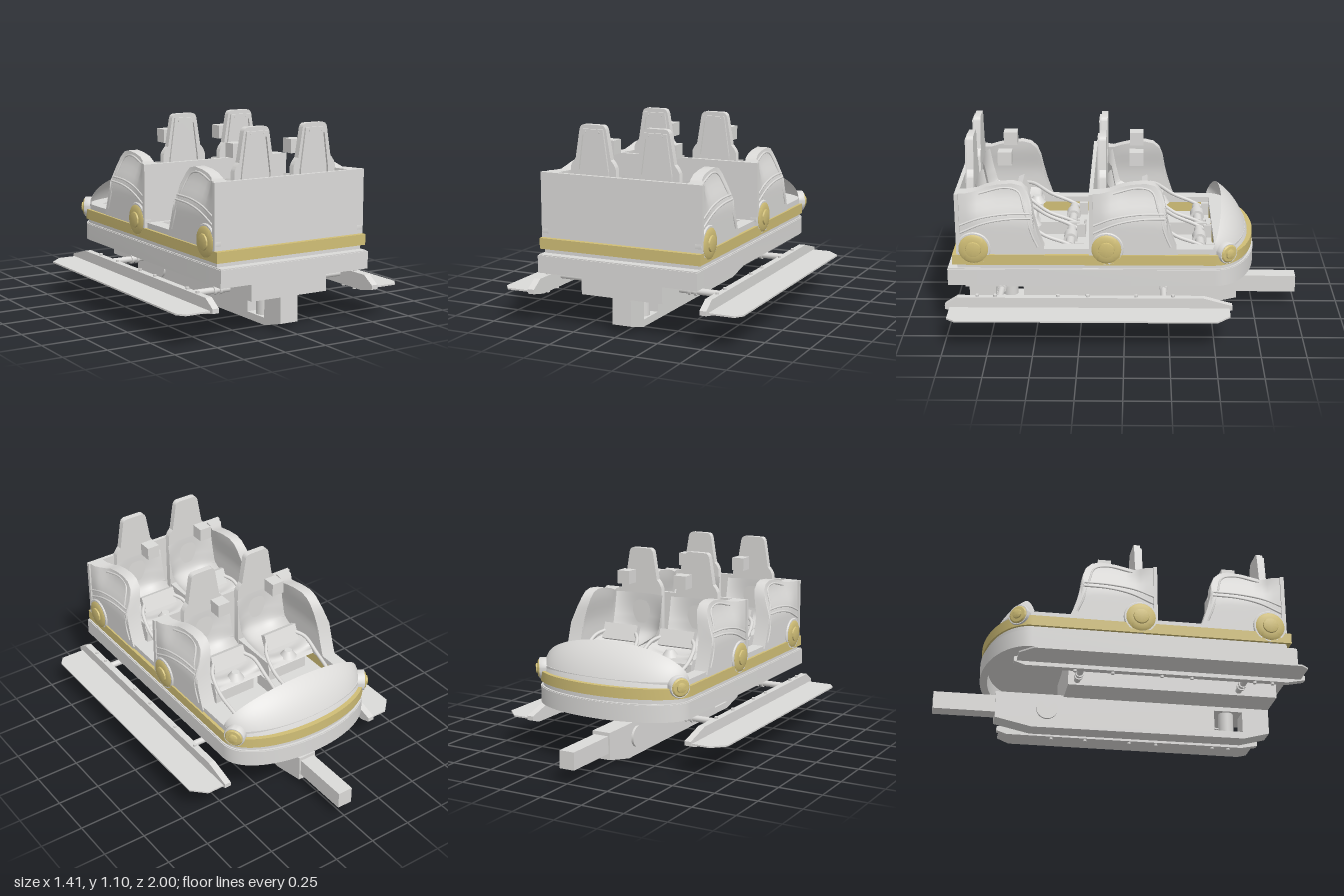
import * as THREE from 'three';
import { toCreasedNormals } from 'three/addons/utils/BufferGeometryUtils.js';
import { ParametricGeometry } from 'three/addons/geometries/ParametricGeometry.js';

const grey = new THREE.MeshStandardMaterial({ color: 0xdbdad8, side: THREE.DoubleSide });
grey.name = 'light grey';
const gold = new THREE.MeshStandardMaterial({ color: 0xd0be76 });
gold.name = 'gold';

const V = (x, y, z) => new THREE.Vector3(x, y, z);
const ss = THREE.MathUtils.smoothstep;

function add(parent, name, geo, mat = grey) {
  const m = new THREE.Mesh(geo, mat);
  m.name = name;
  parent.add(m);
  return m;
}
// box given by its limits
function box(parent, name, x0, x1, y0, y1, z0, z1) {
  const g = new THREE.BoxGeometry(x1 - x0, y1 - y0, z1 - z0);
  return add(parent, name, g.translate((x0 + x1) / 2, (y0 + y1) / 2, (z0 + z1) / 2));
}
function tube(parent, name, pts, r) {
  return add(parent, name, new THREE.TubeGeometry(new THREE.CatmullRomCurve3(pts), 24, r, 8));
}
const shapeOf = pts => new THREE.Shape(pts.map(p => new THREE.Vector2(...p)));
const rect = (x0, x1, z0, z1) => shapeOf([[x0, z0], [x1, z0], [x1, z1], [x0, z1]]);

// (z, y) outline extruded across x
function sideExtrude(pts, x0, x1, holes = []) {
  const s = shapeOf(pts);
  s.holes.push(...holes);
  return new THREE.ExtrudeGeometry(s, { depth: x1 - x0, bevelEnabled: false }).rotateY(-Math.PI / 2).translate(x1, 0, 0);
}
// (x, z) outline extruded down from y1 to y0
function planExtrude(shape, y0, y1) {
  const g = new THREE.ExtrudeGeometry(shape, { depth: y1 - y0, bevelEnabled: false }).rotateX(Math.PI / 2).translate(0, y1, 0);
  return toCreasedNormals(g, 0.5);
}
// car outline: square at the tail, curved at the nose
function carPlan(w, tail, shoulder, nose, holes = []) {
  const pts = [[w, tail], [-w, tail]];
  for (let i = 0; i <= 32; i++) {
    const a = Math.PI * i / 32;
    pts.push([-w * Math.cos(a), shoulder + (nose - shoulder) * Math.sin(a)]);
  }
  const s = shapeOf(pts);
  s.holes.push(...holes);
  return s;
}

// round badge with a grey rim and a stepped gold boss, facing +x
function medallion(r, name) {
  const g = new THREE.Group();
  g.name = name;
  const turn = pts => toCreasedNormals(
    new THREE.LatheGeometry(pts.map(p => new THREE.Vector2(p[0] * r, p[1])), 40).rotateZ(-Math.PI / 2), 0.5);
  add(g, 'rim', turn([[1, -0.03], [1, 0.004], [0.95, 0.01], [0.86, 0.01], [0.82, 0]]));
  add(g, 'goldBoss', turn([[0.86, -0.02], [0.86, 0.011], [0.74, 0.018], [0.46, 0.02], [0.44, 0.028], [0.36, 0.03], [0, 0.03]]), gold);
  return g;
}

// side pod: height along z, with an upper part that steps inward ahead of the back panel
const podTop = [[0.92, 0.84], [0.87, 0.84], [0.84, 0.84], [0.81, 0.842], [0.76, 0.86], [0.7, 0.873], [0.62, 0.88],
  [0.57, 0.868], [0.535, 0.835], [0.515, 0.78], [0.5, 0.69], [0.48, 0.61], [0.455, 0.535], [0.44, 0.5]];
const podLean = (y, z) => ss(y, 0.66, 0.87) * (1 - ss(z, 0.78, 0.9));
const podX = (y, z) => 0.465 - 0.06 * podLean(y, z);
function podGeometry(side) {
  const n = podTop.length - 1, K = 10;
  const g = new ParametricGeometry((u, v, t) => {
    const [z, top] = podTop[Math.round(u * n)];
    const k = Math.round(v * (2 * K + 1)), outer = k <= K;
    const y = 0.485 + (top - 0.485) * (outer ? k : 2 * K + 1 - k) / K;
    t.set(side * (podX(y, z) - (outer ? 0 : 0.085 - 0.025 * podLean(y, z))), y, z);
  }, n, 2 * K + 1);
  return toCreasedNormals(g, 0.6);
}

// bucket seat shell swept from backrest to pan with raised bolsters
const seatPath = new THREE.CatmullRomCurve3([V(0, 0.835, 0.836), V(0, 0.7, 0.84), V(0, 0.6, 0.825), V(0, 0.555, 0.76),
  V(0, 0.55, 0.6), V(0, 0.565, 0.52), V(0, 0.53, 0.49)]);
const seatShell = new ParametricGeometry((u, v, t) => {
  const p = seatPath.getPoint(v), d = seatPath.getTangent(v), a = u * 2 - 1;
  const lift = 0.07 * Math.abs(a) ** 3 * Math.sin(Math.PI * Math.min(1, v + 0.1));
  t.set(a * 0.156, p.y - d.z * lift, p.z + d.y * lift);
}, 20, 30);

function seat(x) {
  const g = new THREE.Group();
  g.name = 'seat';
  g.position.x = x;
  add(g, 'seatShell', seatShell);
  box(g, 'seatBase', -0.13, 0.13, 0.42, 0.54, 0.53, 0.85);
  // tall backrest with rounded head
  const s = new THREE.Shape();
  s.moveTo(-0.135, 0.5); s.lineTo(0.135, 0.5); s.lineTo(0.135, 0.87);
  s.quadraticCurveTo(0.13, 0.895, 0.105, 0.92); s.lineTo(0.08, 1.07);
  s.quadraticCurveTo(0.075, 1.102, 0.05, 1.102); s.lineTo(-0.05, 1.102);
  s.quadraticCurveTo(-0.075, 1.102, -0.08, 1.07); s.lineTo(-0.105, 0.92);
  s.quadraticCurveTo(-0.13, 0.895, -0.135, 0.87);
  add(g, 'backrest', toCreasedNormals(new THREE.ExtrudeGeometry(s, { depth: 0.036, bevelEnabled: false }).translate(0, 0, 0.838), 0.5));
  const frame = shapeOf([[-0.105, 0.6], [0.105, 0.6], [0.095, 0.86], [0.065, 1.08], [-0.065, 1.08], [-0.095, 0.86]]);
  frame.holes.push(shapeOf([[-0.09, 0.62], [0.09, 0.62], [0.081, 0.86], [0.055, 1.05], [-0.055, 1.05], [-0.081, 0.86]]));
  add(g, 'backFrame', new THREE.ExtrudeGeometry(frame, { depth: 0.012, bevelEnabled: false }).translate(0, 0, 0.874));
  for (const sx of [-0.04, 0.04])
    add(g, 'frameBolt', new THREE.CylinderGeometry(0.007, 0.007, 0.004, 12).rotateX(Math.PI / 2).translate(sx, 1.065, 0.887));
  // saddle horn on the front of the pan
  add(g, 'saddleHorn', new THREE.CylinderGeometry(0.022, 0.05, 0.04, 20).translate(0, 0.575, 0.525));
  // lap bar: pivot roller, two arms and a tilted pad
  add(g, 'pivotRoller', new THREE.CylinderGeometry(0.026, 0.026, 0.27, 20).rotateZ(Math.PI / 2).translate(0, 0.475, 0.31));
  add(g, 'rollerCollar', new THREE.CylinderGeometry(0.04, 0.04, 0.08, 20).rotateZ(Math.PI / 2).translate(0, 0.475, 0.31));
  for (const sx of [-1, 1]) {
    tube(g, 'lapBarArm', [V(sx * 0.14, 0.46, 0.25), V(sx * 0.15, 0.505, 0.34), V(sx * 0.155, 0.55, 0.45),
      V(sx * 0.14, 0.62, 0.55), V(sx * 0.1, 0.645, 0.6)], 0.011);
    box(g, 'pivotBracket', sx * 0.14 - 0.012, sx * 0.14 + 0.012, 0.42, 0.5, 0.23, 0.28);
  }
  const pad = add(g, 'lapPad', new THREE.BoxGeometry(0.22, 0.095, 0.035));
  pad.position.set(0, 0.64, 0.605);
  pad.rotation.x = 0.4;
  box(g, 'lapPadTongue', -0.04, 0.04, 0.6, 0.62, 0.6, 0.7);
  // floating marker block above the lap
  box(g, 'markerBlock', -0.038, 0.038, 0.92, 0.997, 0.632, 0.71);
  return g;
}

function row(z) {
  const g = new THREE.Group();
  g.name = 'seatRow';
  g.position.z = z;
  box(g, 'backPanel', -0.474, 0.474, 0.485, 0.84, 0.908, 0.93);
  box(g, 'centreBar', -0.012, 0.012, 0.42, 0.5, 0.25, 0.55);
  box(g, 'centreCrossbar', -0.05, 0.05, 0.48, 0.505, 0.24, 0.265);
  for (const s of [-1, 1]) {
    g.add(seat(s * 0.185));
    add(g, 'sidePod', podGeometry(s));
    // moulded ribs following the pod face
    const ribs = [
      [[0.91, 0.655], [0.8, 0.695], [0.66, 0.717], [0.52, 0.72]],
      [[0.91, 0.61], [0.78, 0.665], [0.65, 0.69], [0.515, 0.695]],
      [[0.8, 0.825], [0.66, 0.855], [0.585, 0.835], [0.55, 0.74], [0.51, 0.6], [0.48, 0.53]]];
    for (const rib of ribs) tube(g, 'podRib', rib.map(([rz, ry]) => V(s * podX(ry, rz), ry, rz)), 0.006);
    const m = medallion(0.096, 'sideMedallion');
    m.position.set(s * 0.464, 0.52, 0.835);
    if (s < 0) m.rotation.y = Math.PI;
    g.add(m);
  }
  return g;
}

export function createModel() {
  const car = new THREE.Group();
  car.name = 'rideCar';
  const wells = () => [rect(-0.38, 0.38, -0.5, 0.17), rect(-0.38, 0.38, 0.22, 0.9)];

  // chassis rim, floor, gold belt and sill
  add(car, 'chassisRim', planExtrude(carPlan(0.47, 0.985, -0.5, -0.742, [carPlan(0.43, 0.945, -0.48, -0.7)]), 0.3, 0.395));
  add(car, 'chassisDeck', planExtrude(carPlan(0.465, 0.98, -0.5, -0.738), 0.385, 0.4));
  add(car, 'floor', planExtrude(carPlan(0.457, 0.93, -0.5, -0.725), 0.4, 0.425));
  add(car, 'goldBelt', planExtrude(carPlan(0.474, 0.955, -0.5, -0.735, wells()), 0.425, 0.484), gold);
  add(car, 'sill', planExtrude(carPlan(0.457, 0.925, -0.5, -0.695, wells()), 0.484, 0.515));

  // nose cowl
  const cowl = new ParametricGeometry((u, v, t) => {
    const a = Math.PI * (u - 0.5), k = Math.cos(a), x = 0.457 * Math.sin(a);
    const o = V(x, 0.484, -0.5 - 0.206 * k), e = V(x, 0.52 + 0.17 * k, -0.49 - 0.06 * k);
    const c = V(x, o.y + (e.y - o.y) * 0.68, o.z + (e.z - o.z) * 0.32);
    t.copy(new THREE.QuadraticBezierCurve3(o, c, e).getPoint(v));
  }, 40, 12);
  add(car, 'noseCowl', cowl);

  for (const z of [0, -0.735]) car.add(row(z));

  // centre box, spine with a window, and tow tongue
  box(car, 'centreBox', -0.24, 0.24, 0.19, 0.39, -0.27, 0.92);
  add(car, 'spine', sideExtrude([[0.92, 0.2], [0.92, 0.045], [0.77, 0.005], [-0.45, 0], [-0.655, 0.045], [-0.655, 0.2]],
    -0.055, 0.055, [rect(0.6, 0.765, 0.045, 0.165)]));
  add(car, 'spinePin', new THREE.CylinderGeometry(0.043, 0.043, 0.13, 24).translate(0, 0.105, 0.68));
  add(car, 'spineAxle', new THREE.CylinderGeometry(0.06, 0.06, 0.136, 32).rotateZ(Math.PI / 2).translate(0, 0.11, -0.365));
  box(car, 'towTongue', -0.045, 0.045, 0.08, 0.18, -1, -0.65);

  for (const s of [-1, 1]) {
    const lamp = medallion(0.06, 'noseMedallion');
    lamp.position.set(s * 0.446, 0.49, -0.573);
    lamp.rotation.y = s > 0 ? 0.6 : Math.PI - 0.6;
    car.add(lamp);

    // outrigger: beam, wing plate, arms and bolts
    const rig = new THREE.Group();
    rig.name = 'outrigger';
    car.add(rig);
    const [b0, b1] = s > 0 ? [0.49, 0.528] : [-0.528, -0.49];
    add(rig, 'beam', sideExtrude([[1, 0.18], [1, 0.205], [0.93, 0.25], [-0.44, 0.25], [-0.6, 0.205], [-0.6, 0.18],
      [-0.54, 0.16], [0.9, 0.16]], b0, b1));
    add(rig, 'wingPlate', planExtrude(shapeOf([[0.5, -0.585], [0.63, -0.585], [0.705, -0.51], [0.705, 0.93], [0.67, 0.975],
      [0.5, 0.975]].map(([x, z]) => [s * x, z])), 0.182, 0.191));
    for (const z of [0.7, -0.22]) {
      add(rig, 'arm', new THREE.CylinderGeometry(0.018, 0.018, 0.27, 16).rotateZ(Math.PI / 2).translate(s * 0.36, 0.218, z));
      for (const x of [0.3, 0.335])
        add(rig, 'armCollar', new THREE.CylinderGeometry(0.025, 0.025, 0.014, 16).rotateZ(Math.PI / 2).translate(s * x, 0.218, z));
    }
    for (const z of [0.82, 0.72, 0.37, 0.205, -0.065, -0.27])
      add(rig, 'bolt', new THREE.CylinderGeometry(0.01, 0.01, 0.114, 8).translate(s * 0.509, 0.205, z));
  }
  return car;
}
